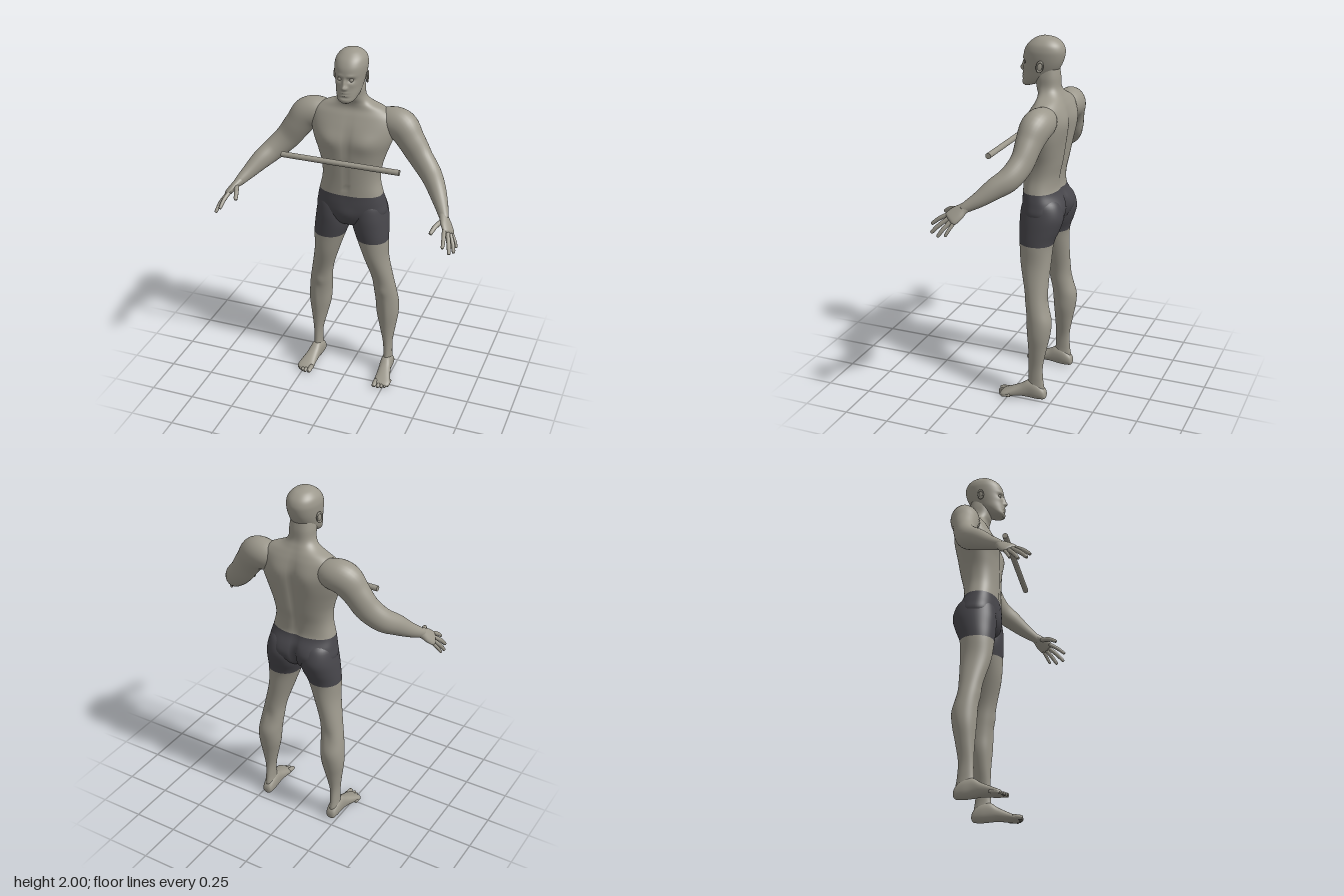
import * as THREE from 'three';

const skin = new THREE.MeshStandardMaterial({ color: 0x9c988c });
skin.name = 'skin grey';
const cloth = new THREE.MeshStandardMaterial({ color: 0x48474c });
cloth.name = 'shorts charcoal';

// Catmull-Rom through rows of numbers, k steps per row
function spline(rows, k) {
  const out = [];
  const at = (i) => rows[Math.min(Math.max(i, 0), rows.length - 1)];
  for (let i = 0; i < rows.length - 1; i++) {
    for (let s = 0; s < k; s++) {
      const t = s / k;
      out.push(rows[i].map((_, c) => {
        const a = at(i - 1)[c], b = at(i)[c], d = at(i + 1)[c], e = at(i + 2)[c];
        return 0.5 * (2 * b + (d - a) * t + (2 * a - 5 * b + 4 * d - e) * t * t + (3 * b - a - 3 * d + e) * t ** 3);
      }));
    }
  }
  out.push(rows[rows.length - 1]);
  return out;
}

// Skin a smooth closed surface over rings; ring(row, angle, index, rows) gives a point
function loft(keyRows, k, n, ring) {
  const rows = spline(keyRows, k), pos = [], idx = [];
  rows.forEach((row, i) => {
    for (let j = 0; j < n; j++) pos.push(...ring(row, (j / n) * Math.PI * 2, i, rows));
  });
  const cap = (i) => {
    const c = [0, 0, 0];
    for (let j = 0; j < n; j++) for (let a = 0; a < 3; a++) c[a] += pos[(i * n + j) * 3 + a] / n;
    pos.push(...c);
    return pos.length / 3 - 1;
  };
  const first = cap(0), last = cap(rows.length - 1), top = (rows.length - 1) * n;
  for (let j = 0; j < n; j++) idx.push(first, j, (j + 1) % n);
  for (let i = 0; i < rows.length - 1; i++) {
    for (let j = 0; j < n; j++) {
      const a = i * n + j, c = i * n + ((j + 1) % n);
      idx.push(a, a + n, c, c, a + n, c + n);
    }
  }
  for (let j = 0; j < n; j++) idx.push(last, top + ((j + 1) % n), top + j);
  const g = new THREE.BufferGeometry();
  g.setAttribute('position', new THREE.Float32BufferAttribute(pos, 3));
  g.setIndex(idx);
  g.computeVertexNormals();
  return g;
}

// Two-colour split at a key row
function split(g, n, k, keyRow, lower, upper) {
  const cut = n * 3 + keyRow * k * n * 6;
  g.addGroup(0, cut, lower);
  g.addGroup(cut, g.index.count - cut, upper);
  return g;
}

const power = (v, p) => Math.sign(v) * Math.abs(v) ** (2 / p);

// Upright form: rows [y, xMin, xMax, zFront, zBack]; bumps [x, y, side, rx, ry, depth]
function upright(rows, k, n, p, bumps = []) {
  return loft(rows, k, n, ([y, x0, x1, zf, zb], a) => {
    const s = Math.sin(a);
    const x = (x0 + x1) / 2 + ((x1 - x0) / 2) * power(Math.cos(a), p);
    let z = (zf + zb) / 2 + ((zf - zb) / 2) * power(s, p);
    for (const [bx, by, side, rx, ry, d] of bumps) {
      if (s * side <= 0) continue;
      const dx = (Math.abs(x) - bx) / rx, dy = (y - by) / ry;
      z += side * d * Math.exp(-dx * dx - dy * dy) * Math.min(1, Math.abs(s) * 2);
    }
    return [x, y, z];
  });
}

// Limb along a path: rows [x, y, z, radius along up, radius across]
function limb(rows, k = 5, n = 24, up = new THREE.Vector3(0, 1, 0)) {
  const v3 = (r) => new THREE.Vector3(r[0], r[1], r[2]);
  return loft(rows, k, n, (r, a, i, all) => {
    const t = v3(all[Math.min(i + 1, all.length - 1)]).sub(v3(all[Math.max(i - 1, 0)])).normalize();
    const v = up.clone().addScaledVector(t, -up.dot(t)).normalize();
    const w = v.clone().cross(t);
    return v3(r).addScaledVector(v, r[3] * Math.cos(a)).addScaledVector(w, r[4] * Math.sin(a)).toArray();
  });
}

// Tapered digit with a rounded tip
function digit(a, b, c, r) {
  const end = c.map((v, i) => v + (v - b[i]) * 0.12);
  return limb([[...a, r, r], [...b, r * 0.95, r * 0.95], [...c, r * 0.75, r * 0.75], [...end, r * 0.25, r * 0.25]], 4, 10);
}

function flip(geometry) {
  const g = geometry.clone();
  g.scale(-1, 1, 1);
  const ix = g.index;
  for (let i = 0; i < ix.count; i += 3) {
    const t = ix.getX(i);
    ix.setX(i, ix.getX(i + 1));
    ix.setX(i + 1, t);
  }
  return g;
}

export function createModel() {
  const model = new THREE.Group();
  model.name = 'standingFigure';
  const add = (name, g, m = skin) => {
    const mesh = new THREE.Mesh(g, m);
    mesh.name = name;
    model.add(mesh);
  };
  const pair = (name, g, m) => {
    add(name + 'Left', g, m);
    add(name + 'Right', flip(g), m);
  };

  // Torso, pelvis and neck
  const torsoRows = [
    [0.965, 0.05, -0.1, -0.17], [1.0, 0.135, -0.045, -0.22], [1.06, 0.198, -0.022, -0.245],
    [1.12, 0.194, -0.017, -0.242], [1.183, 0.18, -0.02, -0.216], [1.26, 0.163, -0.02, -0.218],
    [1.34, 0.168, -0.018, -0.235], [1.42, 0.192, -0.016, -0.248], [1.5, 0.222, -0.02, -0.256],
    [1.57, 0.235, -0.04, -0.258], [1.63, 0.225, -0.068, -0.245], [1.668, 0.172, -0.088, -0.23],
    [1.7, 0.1, -0.088, -0.214], [1.735, 0.071, -0.075, -0.2], [1.79, 0.067, -0.065, -0.197], [1.84, 0.06, -0.07, -0.19],
  ].map(([y, w, f, b]) => [y, -w, w, f, b]);
  const torso = upright(torsoRows, 5, 80, 2.35, [
    [0.1, 1.5, 1, 0.07, 0.055, 0.014], [0, 1.5, 1, 0.018, 0.1, -0.007], [0, 1.3, 1, 0.012, 0.12, -0.004],
    [0, 1.225, 1, 0.009, 0.011, -0.007], [0, 1.06, 1, 0.05, 0.05, 0.01], [0.09, 1.56, -1, 0.06, 0.09, 0.012],
    [0, 1.4, -1, 0.025, 0.2, -0.018], [0.09, 1.075, -1, 0.065, 0.06, 0.018], [0, 1.05, -1, 0.016, 0.08, -0.025],
  ]);
  add('torso', split(torso, 80, 5, 4, 0, 1), [cloth, skin]);

  // Head with modelled face
  const headRows = [
    [1.733, 0.022, 0, -0.035], [1.748, 0.045, 0.01, -0.08], [1.78, 0.062, 0.007, -0.145], [1.82, 0.071, 0.003, -0.185],
    [1.86, 0.079, 0, -0.208], [1.9, 0.084, 0, -0.22], [1.93, 0.084, -0.008, -0.221], [1.96, 0.075, -0.028, -0.208],
    [1.985, 0.051, -0.06, -0.178], [1.997, 0.022, -0.09, -0.14], [2.0, 0.005, -0.11, -0.12],
  ].map(([y, w, f, b]) => [y, -w, w, f, b]);
  add('head', upright(headRows, 7, 112, 2.15, [
    [0, 1.821, 1, 0.013, 0.013, 0.018], [0, 1.845, 1, 0.009, 0.022, 0.013], [0.013, 1.817, 1, 0.007, 0.007, 0.006],
    [0.032, 1.861, 1, 0.016, 0.011, -0.013], [0.03, 1.882, 1, 0.025, 0.009, 0.005], [0, 1.792, 1, 0.02, 0.005, 0.006],
    [0, 1.779, 1, 0.017, 0.005, 0.006], [0, 1.785, 1, 0.022, 0.0025, -0.004], [0.045, 1.835, 1, 0.016, 0.014, 0.003],
    [0, 1.766, 1, 0.025, 0.006, -0.005],
  ]));
  const eye = new THREE.SphereGeometry(0.012, 16, 12);
  eye.translate(0.031, 1.86, -0.02);
  pair('eye', eye);
  const earBowl = new THREE.SphereGeometry(1, 20, 14);
  earBowl.scale(0.007, 0.027, 0.016).rotateY(0.35).rotateX(-0.15).translate(0.084, 1.85, -0.115);
  pair('ear', earBowl);
  const rim = new THREE.TorusGeometry(0.018, 0.0045, 8, 24);
  rim.rotateY(Math.PI / 2).scale(1, 1.45, 0.9).rotateY(0.35).rotateX(-0.15).translate(0.088, 1.852, -0.117);
  pair('earRim', rim);

  // Arms
  pair('arm', limb([
    [0.11, 1.59, -0.17, 0.05, 0.05], [0.19, 1.592, -0.175, 0.08, 0.076], [0.265, 1.577, -0.166, 0.09, 0.08],
    [0.322, 1.51, -0.152, 0.077, 0.069], [0.382, 1.427, -0.138, 0.071, 0.058], [0.45, 1.36, -0.1, 0.064, 0.056],
    [0.5, 1.315, -0.04, 0.056, 0.049], [0.545, 1.265, 0.025, 0.041, 0.038], [0.58, 1.226, 0.085, 0.028, 0.026],
    [0.592, 1.213, 0.1, 0.022, 0.02],
  ], 6, 32));

  // Hands
  const across = new THREE.Vector3(-0.4, 0.43, 0.79).normalize();
  pair('palm', limb([
    [0.57, 1.236, 0.068, 0.024, 0.024], [0.587, 1.218, 0.098, 0.031, 0.022], [0.606, 1.196, 0.123, 0.042, 0.02],
    [0.626, 1.173, 0.148, 0.043, 0.016], [0.632, 1.166, 0.156, 0.03, 0.008],
  ], 5, 24, across));
  const fingers = {
    indexFinger: [[0.606, 1.19, 0.165], [0.618, 1.162, 0.215], [0.624, 1.132, 0.252], 0.0115],
    middleFinger: [[0.622, 1.175, 0.158], [0.644, 1.135, 0.206], [0.656, 1.098, 0.24], 0.012],
    ringFinger: [[0.63, 1.165, 0.142], [0.658, 1.122, 0.177], [0.671, 1.087, 0.2], 0.0115],
    littleFinger: [[0.635, 1.16, 0.124], [0.661, 1.122, 0.145], [0.673, 1.095, 0.158], 0.0095],
    thumb: [[0.585, 1.212, 0.115], [0.562, 1.203, 0.17], [0.548, 1.18, 0.212], 0.0135],
  };
  for (const [name, f] of Object.entries(fingers)) pair(name, digit(...f));

  // Legs, covered by shorts above the hem
  const legRows = [
    [0.03, 0.2, 0.236, -0.125, -0.2], [0.07, 0.193, 0.243, -0.105, -0.203], [0.12, 0.195, 0.242, -0.11, -0.196],
    [0.2, 0.19, 0.244, -0.112, -0.193], [0.3, 0.166, 0.258, -0.11, -0.21], [0.39, 0.145, 0.271, -0.105, -0.228],
    [0.47, 0.138, 0.27, -0.1, -0.234], [0.55, 0.131, 0.26, -0.092, -0.215], [0.65, 0.119, 0.241, -0.074, -0.204],
    [0.785, 0.077, 0.217, -0.04, -0.207], [0.9, 0.036, 0.216, -0.028, -0.214], [0.98, 0.008, 0.211, -0.022, -0.243],
    [1.05, 0.006, 0.203, -0.022, -0.26], [1.12, 0.015, 0.188, -0.035, -0.24], [1.16, 0.04, 0.16, -0.07, -0.2],
  ];
  const leg = upright(legRows, 5, 48, 2.1, [
    [0.19, 0.565, 1, 0.03, 0.03, 0.006], [0.19, 0.585, -1, 0.03, 0.04, -0.006], [0.215, 0.42, 1, 0.02, 0.1, 0.005],
  ]);
  pair('leg', split(leg, 48, 5, 10, 0, 1), [skin, cloth]);

  // Feet: rows [z, centre x, half width, bottom, top]
  const footRows = [
    [-0.214, 0.217, 0.012, 0.018, 0.04], [-0.204, 0.217, 0.027, 0.005, 0.065], [-0.165, 0.218, 0.034, 0, 0.1],
    [-0.115, 0.22, 0.034, 0.002, 0.108], [-0.07, 0.226, 0.037, 0.006, 0.08], [-0.02, 0.234, 0.044, 0.002, 0.055],
    [0.015, 0.238, 0.049, 0, 0.038], [0.035, 0.236, 0.044, 0.003, 0.028], [0.042, 0.235, 0.034, 0.007, 0.02],
  ];
  pair('foot', loft(footRows, 5, 32, ([z, x, w, lo, hi], a) =>
    [x + w * power(Math.cos(a), 2.3), (lo + hi) / 2 - ((hi - lo) / 2) * power(Math.sin(a), 2.3), z]));
  [[0.203, 0.062, 0.014], [0.227, 0.062, 0.0105], [0.246, 0.055, 0.01], [0.263, 0.045, 0.0095], [0.278, 0.03, 0.009]]
    .forEach(([x, z, r], i) => pair('toe' + (i + 1), digit([x, r + 0.008, z - 0.05], [x, r + 0.004, z - 0.015], [x, r, z], r)));

  // Bar floating in front of the chest
  const bar = new THREE.CylinderGeometry(0.0155, 0.0155, 0.66, 24);
  bar.rotateZ(Math.PI / 2).translate(0, 1.422, 0.071);
  add('bar', bar);
  return model;
}
